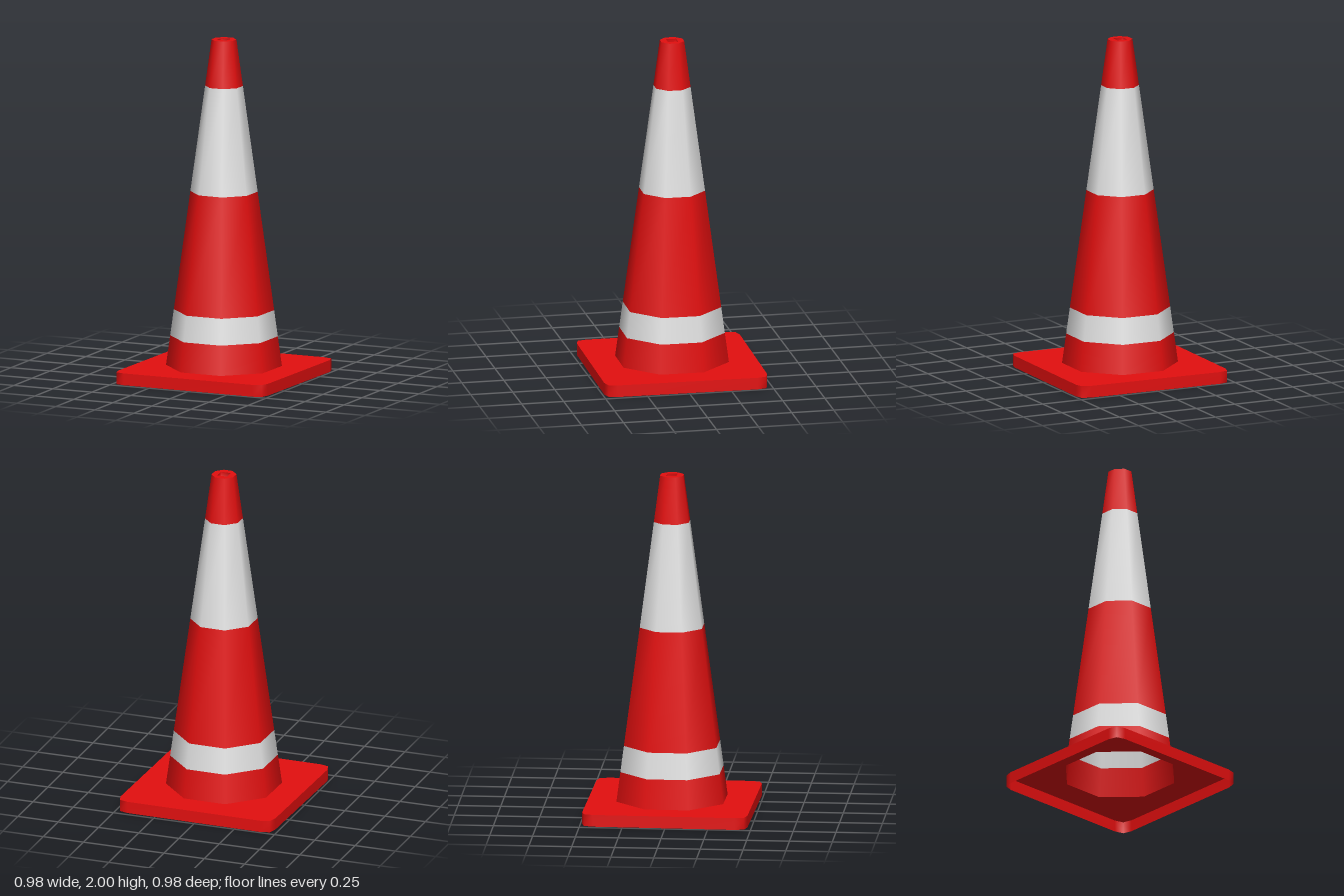
import * as THREE from 'three';

const OCT = 1 / Math.cos(Math.PI / 8); // apothem to corner radius
const Y0 = 0.07, Y1 = 2, A0 = 0.312, A1 = 0.067;
const apothem = (y) => A0 + (A1 - A0) * (y - Y0) / (Y1 - Y0);

// Regular polygon with sides square to the axes
function polygon(sides, a) {
  const r = a / Math.cos(Math.PI / sides);
  return Array.from({ length: sides }, (_, i) => {
    const t = (i + 0.5) * 2 * Math.PI / sides;
    return new THREE.Vector2(r * Math.cos(t), r * Math.sin(t));
  });
}

// Flat horizontal plate with a hole
function plate(outline, hole, y) {
  const shape = new THREE.Shape(outline);
  shape.holes.push(new THREE.Path(hole));
  return new THREE.ShapeGeometry(shape).rotateX(-Math.PI / 2).translate(0, y, 0);
}

// Upright wall following a closed outline
function wall(outline, y0, y1) {
  const pos = [], index = [], n = outline.length;
  outline.forEach((p, i) => {
    pos.push(p.x, y0, -p.y, p.x, y1, -p.y);
    const a = 2 * i, b = 2 * ((i + 1) % n);
    index.push(a, b, b + 1, a, b + 1, a + 1);
  });
  const g = new THREE.BufferGeometry();
  g.setAttribute('position', new THREE.Float32BufferAttribute(pos, 3));
  g.setIndex(index);
  g.computeVertexNormals();
  return g;
}

export function createModel() {
  const red = new THREE.MeshStandardMaterial({ color: 0xe30f0f, side: THREE.DoubleSide });
  red.name = 'red';
  const white = new THREE.MeshStandardMaterial({ color: 0xe4e4e4, side: THREE.DoubleSide });
  white.name = 'white';

  const group = new THREE.Group();
  group.name = 'trafficCone';
  const add = (name, geometry, material) => {
    const mesh = new THREE.Mesh(geometry, material);
    mesh.name = name;
    group.add(mesh);
  };

  // Hollow eight-sided body in alternating bands
  const levels = [Y0, 0.245, 0.4, 1.1, 1.725, Y1];
  const names = ['lowerBody', 'lowerStripe', 'middleBody', 'upperStripe', 'tip'];
  names.forEach((name, i) => {
    const a = levels[i], b = levels[i + 1];
    const g = new THREE.CylinderGeometry(apothem(b) * OCT, apothem(a) * OCT, b - a, 8, 1, true, Math.PI / 8);
    add(name, g.translate(0, (a + b) / 2, 0), i % 2 ? white : red);
  });

  // Tip cap with a small square recess
  add('tipCap', plate(polygon(8, A1), polygon(4, 0.03), Y1), red);
  const r = 0.03 * Math.SQRT2;
  const pit = [[0, 1.94], [r, 1.94], [r, Y1]].map(([x, y]) => new THREE.Vector2(x, y));
  add('tipRecess', new THREE.LatheGeometry(pit, 4, Math.PI / 4), red);

  // Square base with clipped corners, open underneath
  const corner = [[0.483, 0.415], [0.468, 0.468], [0.415, 0.483]];
  const outline = [];
  for (let k = 0; k < 4; k++) {
    for (const [x, y] of corner) {
      outline.push(new THREE.Vector2(x, y).rotateAround(new THREE.Vector2(), k * Math.PI / 2));
    }
  }
  add('baseTop', plate(outline, polygon(8, A0), Y0), red);
  add('baseRim', wall(outline, 0, Y0), red);

  // Slight twist of the whole cone
  group.rotation.y = -0.016;
  return group;
}
